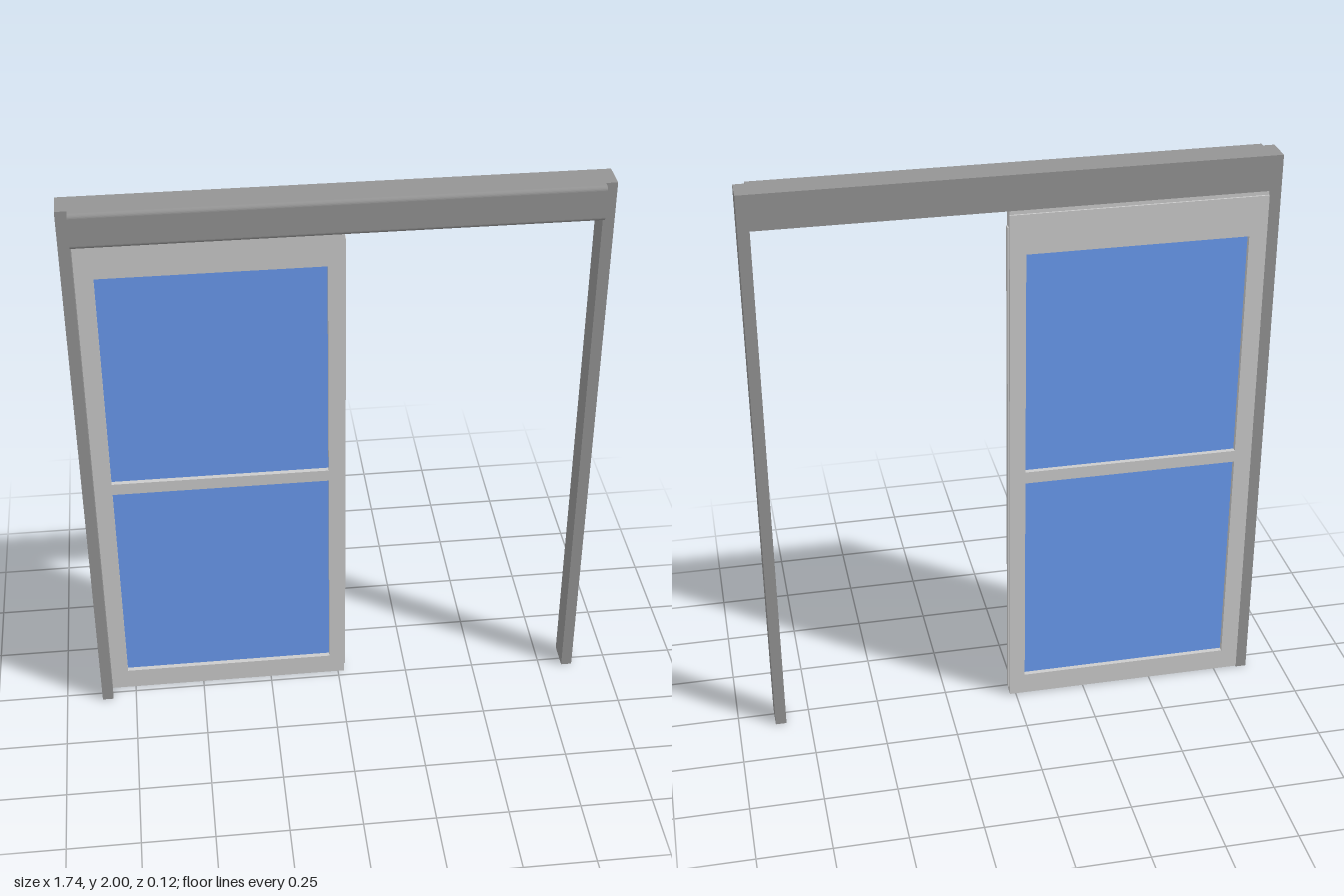
import * as THREE from 'three';

const frameMat = new THREE.MeshStandardMaterial({ color: 0x949494 });
const doorMat = new THREE.MeshStandardMaterial({ color: 0xcccccc });
const glassMat = new THREE.MeshStandardMaterial({ color: 0x6a9bf0 });

// Box given by its min and max on each axis
function block(name, mat, [x0, x1], [y0, y1], [z0, z1]) {
  const mesh = new THREE.Mesh(new THREE.BoxGeometry(x1 - x0, y1 - y0, z1 - z0), mat);
  mesh.position.set((x0 + x1) / 2, (y0 + y1) / 2, (z0 + z1) / 2);
  mesh.name = name;
  return mesh;
}

// Clockwise rectangular hole
function rectHole(x0, x1, y0, y1) {
  const p = new THREE.Path();
  p.moveTo(x0, y0);
  p.lineTo(x0, y1);
  p.lineTo(x1, y1);
  p.lineTo(x1, y0);
  p.closePath();
  return p;
}

export function createModel() {
  const model = new THREE.Group();
  model.name = 'slidingDoor';
  const back = -0.062, jambFront = 0.034, coverFront = 0.062;
  const inner = 0.834, outer = 0.872, headY = 1.88;

  // Fixed frame: two jambs and the header between them
  const frame = new THREE.Group();
  frame.name = 'frame';
  frame.add(block('leftJamb', frameMat, [inner, outer], [0, 2], [back, jambFront]));
  frame.add(block('rightJamb', frameMat, [-outer, -inner], [0, 2], [back, jambFront]));
  frame.add(block('header', frameMat, [-inner, inner], [headY, 2], [back, jambFront]));

  // Track cover with rounded front edges, extruded along the header
  const r = 0.014;
  const profile = new THREE.Shape();
  profile.moveTo(-jambFront, headY);
  profile.lineTo(-jambFront, 2);
  profile.lineTo(-coverFront + r, 2);
  profile.absarc(-coverFront + r, 2 - r, r, Math.PI / 2, Math.PI, false);
  profile.lineTo(-coverFront, headY + r);
  profile.absarc(-coverFront + r, headY + r, r, Math.PI, Math.PI * 1.5, false);
  profile.closePath();
  const coverGeo = new THREE.ExtrudeGeometry(profile, {
    depth: 2 * inner, bevelEnabled: false, curveSegments: 6,
  });
  coverGeo.rotateY(Math.PI / 2);
  coverGeo.translate(-inner, 0, 0);
  const cover = new THREE.Mesh(coverGeo, frameMat);
  cover.name = 'trackCover';
  frame.add(cover);
  model.add(frame);

  // Sliding leaf: one panel with two window openings
  const door = new THREE.Group();
  door.name = 'doorLeaf';
  const doorFront = -0.02, x0 = -inner, x1 = 0.022, doorTop = 1.865;
  const panes = [[0.082, 0.884], [0.927, 1.728]];
  const glassX = [-0.774, -0.032];
  const leaf = new THREE.Shape([
    new THREE.Vector2(x0, 0.004), new THREE.Vector2(x1, 0.004),
    new THREE.Vector2(x1, doorTop), new THREE.Vector2(x0, doorTop),
  ]);
  for (const [a, b] of panes) leaf.holes.push(rectHole(...glassX, a, b));
  const leafGeo = new THREE.ExtrudeGeometry(leaf, { depth: doorFront - back, bevelEnabled: false });
  leafGeo.translate(0, 0, back);
  const leafMesh = new THREE.Mesh(leafGeo, doorMat);
  leafMesh.name = 'doorPanel';
  door.add(leafMesh);

  // Hanger rail joining the leaf to the header, and the closing edge seal
  door.add(block('hangerRail', doorMat, [x0, x1], [doorTop, headY], [back + 0.006, doorFront - 0.004]));
  door.add(block('edgeSeal', doorMat, [x1, x1 + 0.005], [0.03, 1.82], [back + 0.01, doorFront - 0.01]));

  // Glass set in the middle of the leaf
  const mid = (back + doorFront) / 2;
  panes.forEach((y, i) => {
    door.add(block(i ? 'upperGlass' : 'lowerGlass', glassMat, glassX, y, [mid - 0.004, mid + 0.004]));
  });
  model.add(door);
  return model;
}
